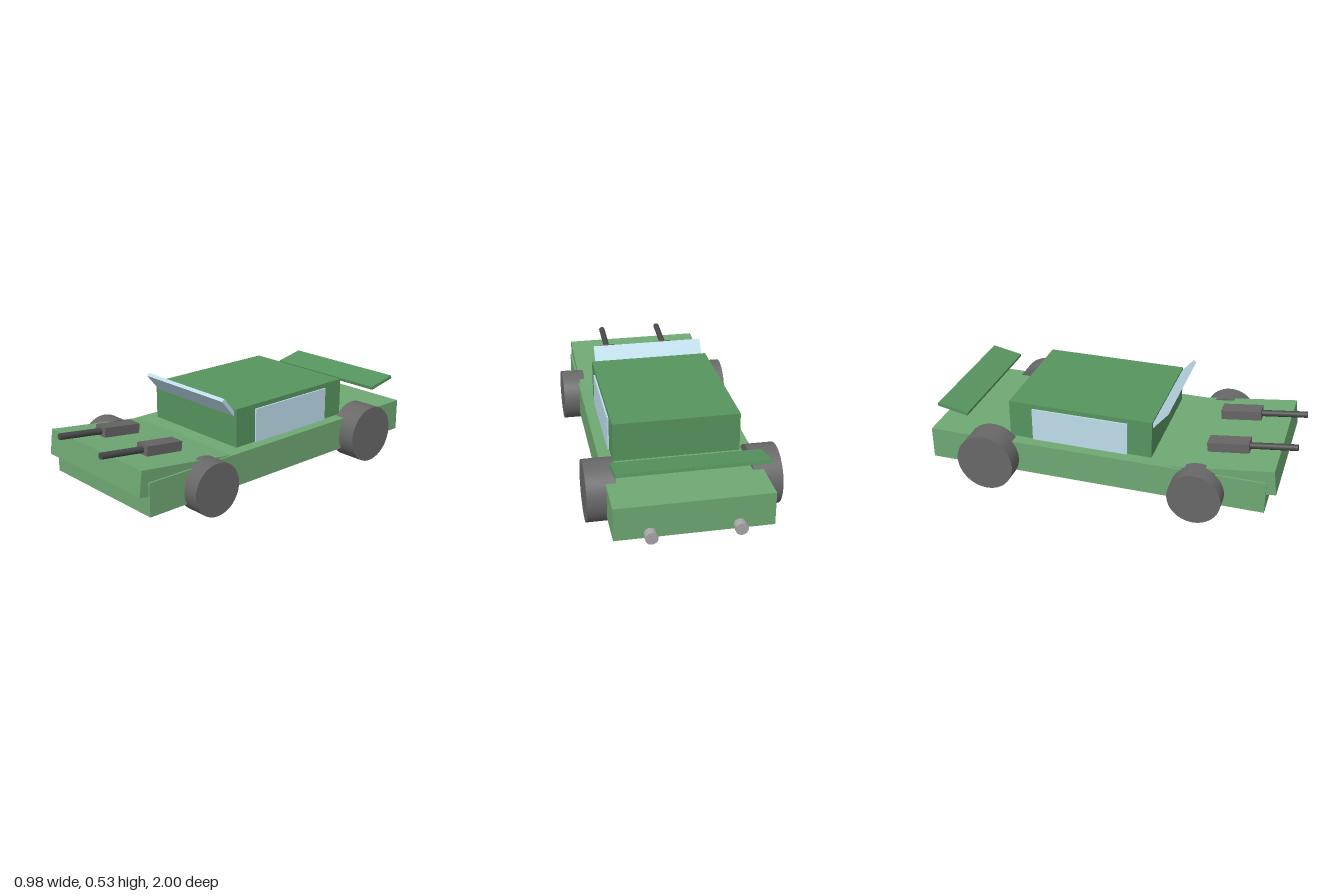
import * as THREE from 'three';

const material = (color) => new THREE.MeshStandardMaterial({ color });

export function createModel() {
  const car = new THREE.Group();
  const paint = material(0x6fa873);
  const darkPaint = material(0x56945e);
  const glass = material(0xbddcea);
  const rubber = material(0x686868);
  const gunmetal = material(0x666464);
  const barrelMetal = material(0x484848);
  const steel = material(0xa8a8a8);

  function add(name, geometry, mat, x, y, z, tilt = 0) {
    const mesh = new THREE.Mesh(geometry, mat);
    mesh.name = name;
    mesh.position.set(x, y, z);
    mesh.rotation.x = tilt;
    car.add(mesh);
  }
  const box = (name, size, mat, pos, tilt) =>
    add(name, new THREE.BoxGeometry(...size), mat, ...pos, tilt);

  // Chassis slab and the hood wedge rising toward the nose
  box('chassis', [0.786, 0.175, 1.835], paint, [0, 0.168, -0.037]);
  const rise = -0.125;
  box('hood', [0.766, 0.135, 0.6], paint, [0, 0.221, 0.626], rise);

  // Cabin, forward-leaning windshield and rear spoiler
  box('cabin', [0.654, 0.207, 0.785], darkPaint, [0, 0.3585, -0.1225]);
  box('windshield', [0.614, 0.2, 0.02], glass, [0, 0.4445, 0.277], 0.7);
  box('spoiler', [0.746, 0.018, 0.174], darkPaint, [0, 0.386, -0.826], 0.2);

  for (const [side, s] of [['left', 1], ['right', -1]]) {
    box(side + 'Window', [0.02, 0.182, 0.525], glass, [s * 0.326, 0.346, -0.1225]);

    // Wheels, larger at the rear
    add(side + 'FrontWheel', new THREE.CylinderGeometry(0.14, 0.14, 0.126, 48).rotateZ(Math.PI / 2),
      rubber, s * 0.417, 0.147, 0.532);
    add(side + 'RearWheel', new THREE.CylinderGeometry(0.157, 0.157, 0.15, 48).rotateZ(Math.PI / 2),
      rubber, s * 0.415, 0.157, -0.605);

    // Hood-mounted guns aligned with the hood slope
    box(side + 'GunBody', [0.085, 0.053, 0.218], gunmetal, [s * 0.176, 0.317, 0.648], rise);
    add(side + 'GunBarrel', new THREE.CylinderGeometry(0.017, 0.017, 0.26, 24).rotateX(Math.PI / 2),
      barrelMetal, s * 0.176, 0.344, 0.87, rise);

    // Tail exhaust pipes
    add(side + 'Exhaust', new THREE.CylinderGeometry(0.032, 0.032, 0.09, 24).rotateX(Math.PI / 2),
      steel, s * 0.217, 0.102, -0.955);
  }
  return car;
}
